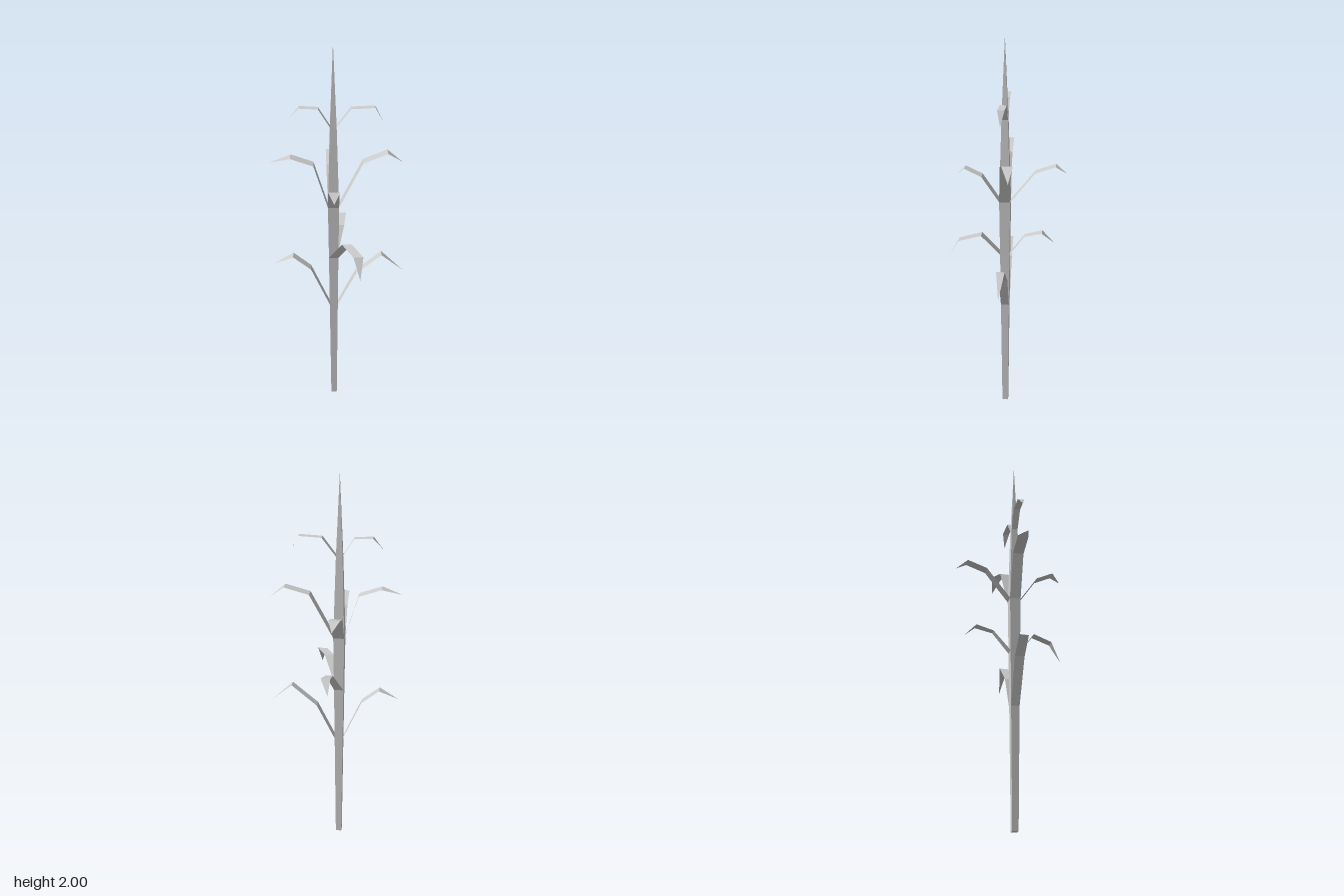
import * as THREE from 'three';

const CX = -0.024, CZ = 0.015; // stalk axis

function material() {
  return new THREE.MeshStandardMaterial({ color: 0xcccccc, flatShading: true, side: THREE.DoubleSide });
}

// Thin folded blade: each station is [x, y, z, half width]; the last one is the tip.
// The blade is widened along the given axis ('x' or 'z').
function leaf(name, axis, stations) {
  const pos = [], index = [];
  for (const [x, y, z, w] of stations) {
    for (const s of [-1, 1]) {
      pos.push(x + (axis === 'x' ? s * w : 0), y, z + (axis === 'z' ? s * w : 0));
    }
  }
  const last = stations.length - 2;
  for (let i = 0; i <= last; i++) {
    const a = i * 2;
    index.push(a, a + 1, a + 2);
    if (i < last) index.push(a + 1, a + 3, a + 2); // the tip is a single triangle
  }
  const geo = new THREE.BufferGeometry();
  geo.setAttribute('position', new THREE.Float32BufferAttribute(pos, 3));
  geo.setIndex(index);
  geo.computeVertexNormals();
  const mesh = new THREE.Mesh(geo, material());
  mesh.name = name;
  return mesh;
}

export function createModel() {
  const plant = new THREE.Group();
  plant.name = 'cornPlant';

  // Square stalk, swelling to the middle and tapering to a point
  const profile = [[0, 0], [0.015, 0], [0.021, 0.6], [0.024, 0.89], [0.0275, 1.18], [0.016, 1.6], [0, 2]];
  const stalk = new THREE.Mesh(
    new THREE.LatheGeometry(profile.map(([h, y]) => new THREE.Vector2(h * Math.SQRT2, y)), 4, Math.PI / 4),
    material());
  stalk.name = 'stalk';
  stalk.position.set(CX, 0, CZ);
  plant.add(stalk);

  // Leaves from the ground up: base, two folds, tip
  const leaves = [
    ['lowerLeftLeaf', 'z', [[-0.003, 0.6, CZ, 0.021], [0.09, 0.79, CZ, 0.022], [0.22, 0.9, CZ, 0.021], [0.33, 0.8, CZ, 0]]],
    ['lowerRightLeaf', 'z', [[-0.045, 0.6, CZ, 0.021], [-0.14, 0.82, CZ, 0.024], [-0.23, 0.895, CZ, 0.024], [-0.33, 0.845, CZ, 0]]],
    ['middleFrontLeaf', 'x', [[CX, 0.89, 0.039, 0.024], [0.04, 1.02, 0.128, 0.025], [0.092, 1.01, 0.235, 0.024], [0.1, 0.91, 0.29, 0]]],
    ['middleBackLeaf', 'x', [[CX, 0.89, -0.009, 0.024], [0.015, 1.01, -0.087, 0.018], [0.021, 1.035, -0.175, 0.024], [0.003, 0.97, -0.237, 0]]],
    ['upperFrontLeaf', 'x', [[CX, 1.18, 0.0425, 0.0275], [CX, 1.31, 0.13, 0.0275], [CX, 1.35, 0.215, 0.0275], [CX, 1.31, 0.257, 0]]],
    ['upperBackLeaf', 'x', [[CX, 1.18, -0.0125, 0.0275], [-0.029, 1.335, -0.135, 0.0275], [-0.03, 1.37, -0.235, 0.0275], [CX, 1.33, -0.293, 0]]],
    ['upperLeftLeaf', 'z', [[0.0035, 1.18, CZ, 0.0275], [0.12, 1.41, -0.001, 0.027], [0.24, 1.45, -0.02, 0.027], [0.316, 1.39, -0.031, 0]]],
    ['upperRightLeaf', 'z', [[-0.0515, 1.18, CZ, 0.0275], [-0.12, 1.405, CZ, 0.0275], [-0.23, 1.445, CZ, 0.0275], [-0.332, 1.415, CZ, 0]]],
    ['topLeftLeaf', 'z', [[-0.008, 1.6, CZ, 0.016], [0.06, 1.69, CZ, 0.017], [0.172, 1.695, CZ, 0.017], [0.208, 1.625, CZ, 0]]],
    ['topRightLeaf', 'z', [[-0.04, 1.6, CZ, 0.016], [-0.095, 1.69, CZ, 0.017], [-0.184, 1.695, CZ, 0.017], [-0.231, 1.64, CZ, 0]]],
  ];
  for (const args of leaves) plant.add(leaf(...args));

  return plant;
}
